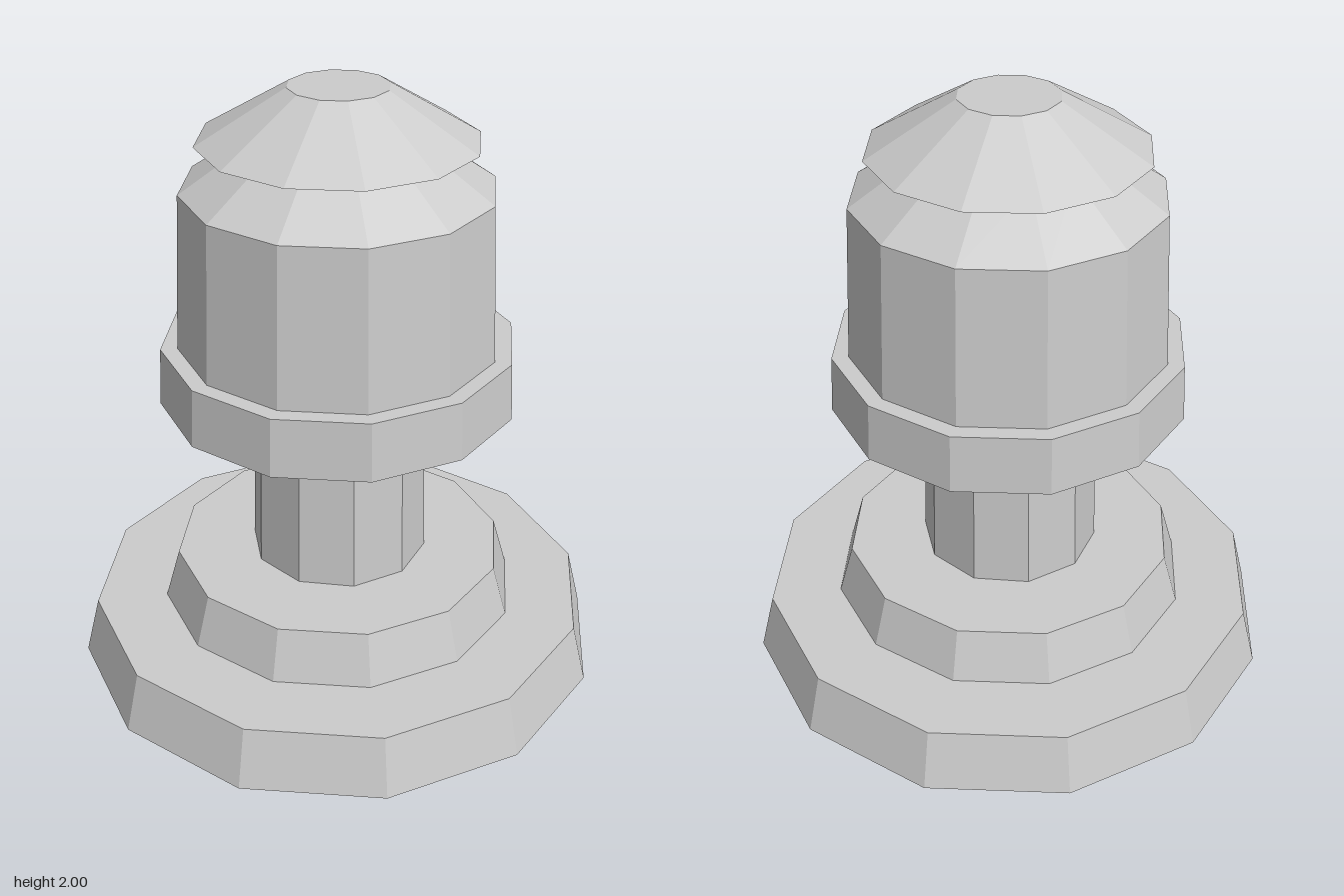
import * as THREE from 'three';

const stone = new THREE.MeshStandardMaterial({ color: 0xcccccc, flatShading: true });
stone.name = 'pale grey';

// name, bottom y, top y, bottom radius, top radius, sides
const TIERS = [
  ['base', 0, 0.2, 0.9, 0.85, 12],
  ['step', 0.2, 0.375, 0.61, 0.56, 12],
  ['column', 0.375, 0.965, 0.3, 0.285, 10],
  ['collar', 0.965, 1.16, 0.59, 0.58, 12],
  ['body', 1.16, 1.68, 0.525, 0.5, 12],
  ['shoulder', 1.68, 1.83, 0.5, 0.28, 12],
  ['cap', 1.83, 2, 0.445, 0.16, 12],
];

export function createModel() {
  const model = new THREE.Group();
  model.name = 'bollard';
  // Stack of tapered, faceted tiers
  for (const [name, y0, y1, r0, r1, sides] of TIERS) {
    const tier = new THREE.Mesh(new THREE.CylinderGeometry(r1, r0, y1 - y0, sides), stone);
    tier.name = name;
    tier.position.y = (y0 + y1) / 2;
    model.add(tier);
  }
  return model;
}
